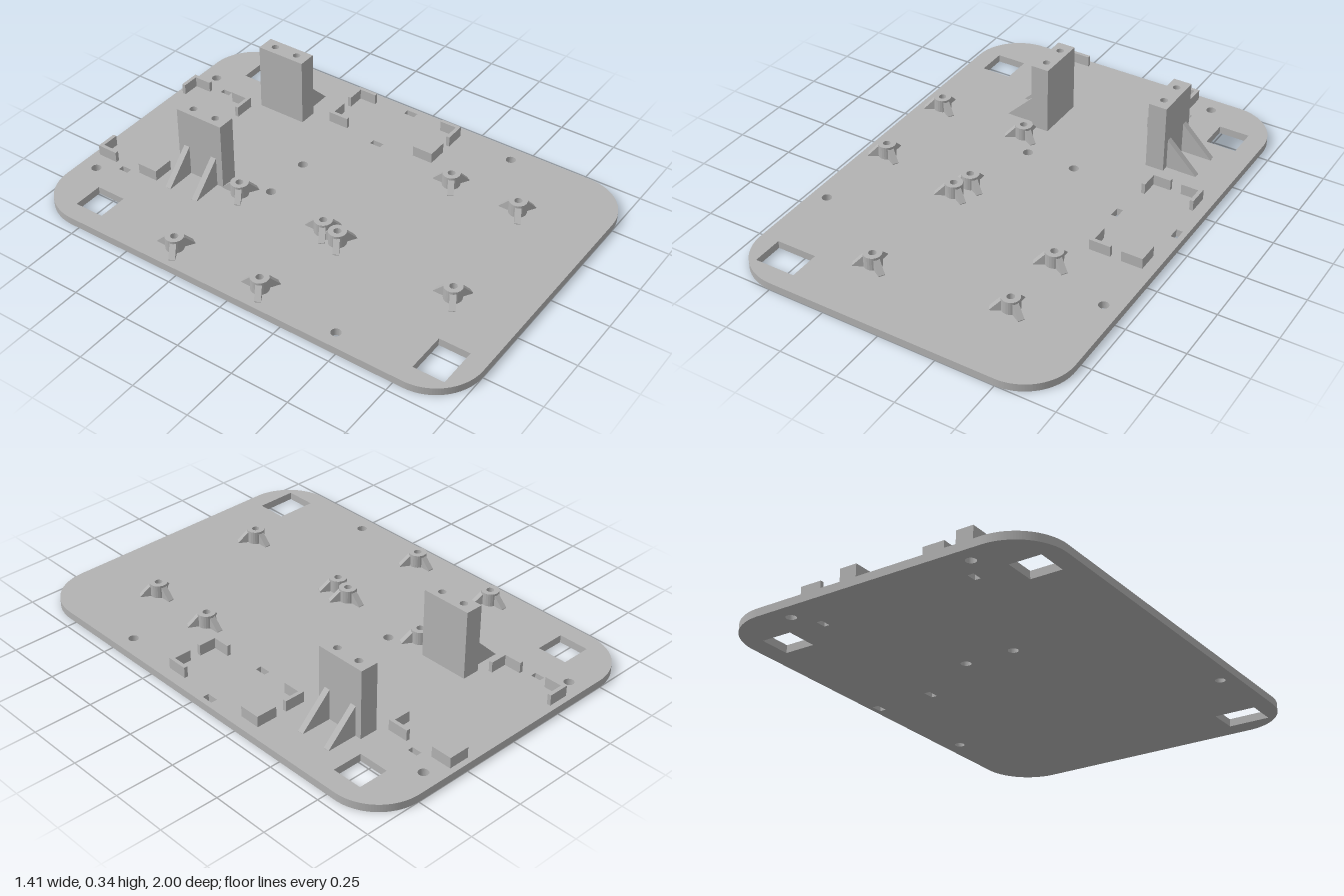
import * as THREE from 'three';

const PLATE_TOP = 0.033;
const SINK = 0.03; // raised parts start just inside the plate

export function createModel() {
  const grey = new THREE.MeshStandardMaterial({ color: 0xb2b2b2 });
  grey.name = 'plain grey';
  const model = new THREE.Group();
  model.name = 'mountingPlate';

  const add = (parent, name, geometry) => {
    const mesh = new THREE.Mesh(geometry, grey);
    mesh.name = name;
    parent.add(mesh);
    return mesh;
  };
  // Plan outlines use (x, -z) and are raised from y0 to y1
  const raise = (shape, y0, y1, curveSegments = 12) =>
    new THREE.ExtrudeGeometry(shape, { depth: y1 - y0, bevelEnabled: false, curveSegments })
      .rotateX(-Math.PI / 2).translate(0, y0, 0);
  const circle = (x, z, r) => new THREE.Path().absarc(x, -z, r, 0, Math.PI * 2, true);
  const polygon = (points) => new THREE.Shape(points.map(([x, y]) => new THREE.Vector2(x, y)));
  const rect = (x0, x1, z0, z1) => polygon([[x0, -z1], [x1, -z1], [x1, -z0], [x0, -z0]]);

  // Base plate with rounded corners
  const w = 0.707, d = 1, r = 0.21;
  const plate = new THREE.Shape();
  plate.absarc(w - r, d - r, r, 0, Math.PI / 2);
  plate.absarc(-w + r, d - r, r, Math.PI / 2, Math.PI);
  plate.absarc(-w + r, -d + r, r, Math.PI, Math.PI * 1.5);
  plate.absarc(w - r, -d + r, r, Math.PI * 1.5, Math.PI * 2);
  plate.closePath();

  // Screw holes
  [[-0.403, -0.925], [0.4, -0.925], [-0.113, -0.236], [0.108, -0.236], [-0.639, 0.456], [0.634, 0.456]]
    .forEach(([x, z]) => plate.holes.push(circle(x, z, 0.021)));
  // Square cable openings and narrow tie slots
  [[-0.627, -0.494, -0.83, -0.697], [0.489, 0.622, -0.83, -0.697], [-0.627, -0.449, 0.782, 0.917],
    [-0.355, -0.33, -0.842, -0.798], [0.325, 0.349, -0.842, -0.798],
    [0.392, 0.418, -0.09, -0.04], [0.656, 0.684, -0.09, -0.04]]
    .forEach((o) => plate.holes.push(rect(...o)));
  add(model, 'basePlate', raise(plate, 0, PLATE_TOP, 16));

  // L-shaped corner brackets that frame two rectangular modules
  const leg = 0.092, t = 0.016;
  const bracketSet = (name, x0, x1, z0, z1) => {
    const group = new THREE.Group();
    group.name = name;
    for (const [x, sx] of [[x0, 1], [x1, -1]]) {
      for (const [z, sz] of [[z0, 1], [z1, -1]]) {
        const points = [[0, 0], [leg, 0], [leg, t], [t, t], [t, leg], [0, leg]]
          .map(([a, b]) => [x + sx * a, -(z + sz * b)]);
        add(group, 'cornerBracket', raise(polygon(points), SINK, 0.08));
      }
    }
    model.add(group);
  };
  bracketSet('rearBrackets', -0.325, 0.315, -0.975, -0.665);
  bracketSet('sideBrackets', 0.424, 0.656, -0.324, 0.196);

  // Upright rib: a profile in (outward, y) with its thickness centred on z
  const ribGeometry = (points, thick) =>
    new THREE.ExtrudeGeometry(polygon(points), { depth: thick, bevelEnabled: false })
      .translate(0, 0, -thick / 2);

  // Two tall posts, drilled from above and braced on the outer side
  const tower = (name, x0, x1, side) => {
    const group = new THREE.Group();
    group.name = name;
    const mid = (x0 + x1) / 2;
    add(group, 'postBody', raise(rect(x0, x1, -0.635, -0.413), SINK, 0.235));
    const top = rect(x0, x1, -0.635, -0.413);
    [-0.58, -0.468].forEach((z) => top.holes.push(circle(mid, z, 0.016)));
    add(group, 'postTop', raise(top, 0.235, 0.335));
    for (const z of [-0.594, -0.456]) {
      const rib = add(group, 'postBrace',
        ribGeometry([[0.03, SINK], [0.174, SINK], [0.174, 0.034], [0.04, 0.167], [0.03, 0.167]], 0.026));
      rib.position.set(mid, 0, z);
      rib.rotation.y = side > 0 ? 0 : Math.PI;
    }
    model.add(group);
  };
  tower('rightPost', -0.203, -0.124, -1);
  tower('leftPost', 0.349, 0.429, 1);

  // Round standoffs with a pilot hole and three sloping fins
  const ring = new THREE.Shape().absarc(0, 0, 0.038, 0, Math.PI * 2);
  ring.holes.push(circle(0, 0, 0.016));
  const collar = raise(ring, SINK, 0.09);
  const fin = ribGeometry([[0.028, SINK], [0.08, SINK], [0.08, 0.036], [0.037, 0.08], [0.028, 0.08]], 0.026);
  [[-0.606, -0.334], [-0.193, -0.334], [-0.606, 0.082], [-0.193, 0.082],
    [-0.217, 0.167], [0.352, 0.337], [0.352, 0.65], [-0.23, 0.706]].forEach(([x, z]) => {
    const group = new THREE.Group();
    group.name = 'standoff';
    add(group, 'standoffCollar', collar);
    for (let i = 0; i < 3; i++) {
      add(group, 'standoffFin', fin).rotation.y = Math.PI / 2 + i * Math.PI * 2 / 3;
    }
    group.position.set(x, 0, z);
    model.add(group);
  });

  return model;
}
